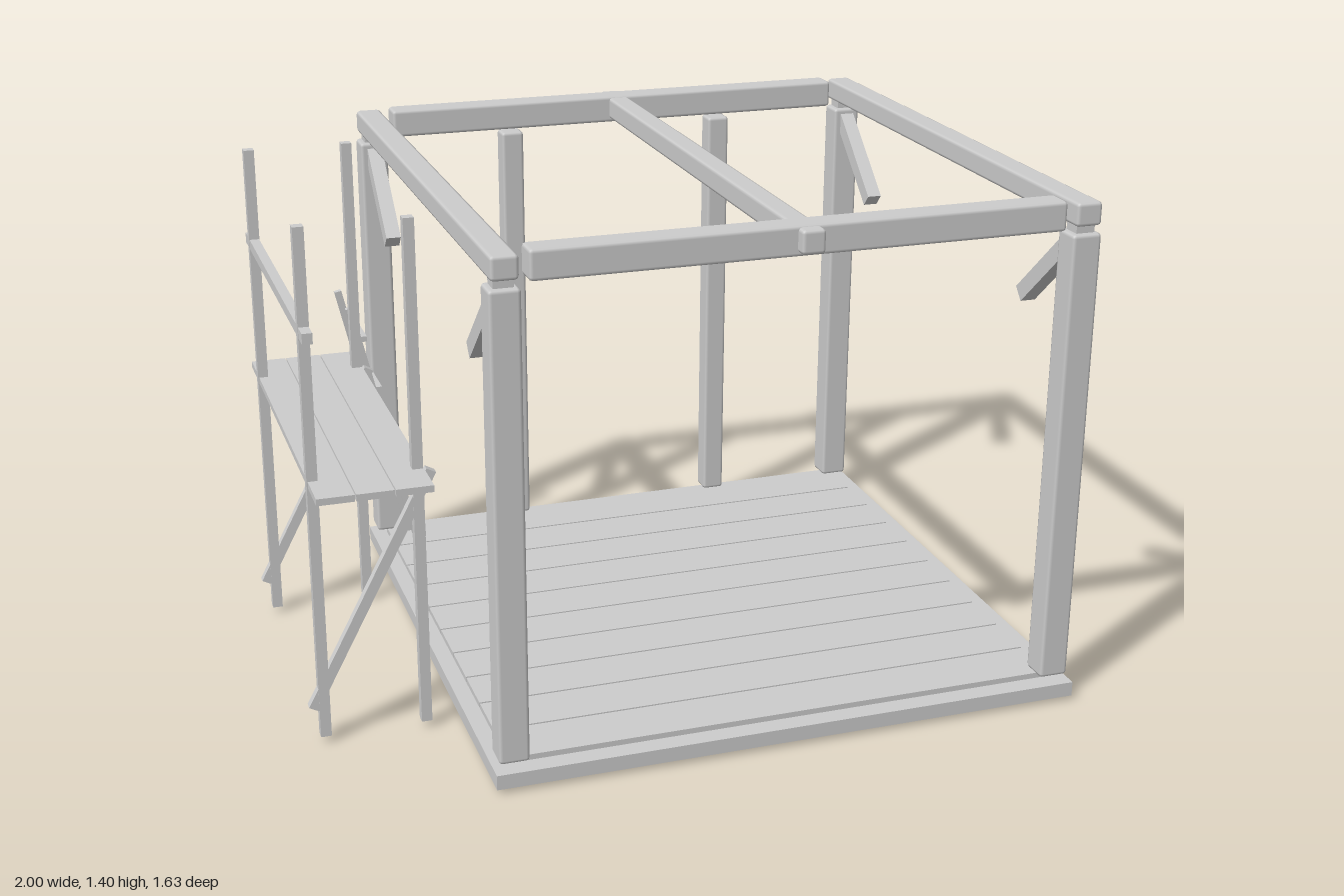
import * as THREE from 'three';
import { RoundedBoxGeometry } from 'three/addons/geometries/RoundedBoxGeometry.js';

export function createModel() {
  const model = new THREE.Group();
  model.name = 'timberFrameWithScaffold';
  const timber = new THREE.MeshStandardMaterial({ color: 0xcccccc });
  timber.name = 'plain grey timber';

  function place(name, geometry, x, y, z) {
    const mesh = new THREE.Mesh(geometry, timber);
    mesh.name = name;
    mesh.position.set(x, y, z);
    model.add(mesh);
    return mesh;
  }
  const box = (name, w, h, d, x, y, z) =>
    place(name, new THREE.BoxGeometry(w, h, d), x, y, z);
  // Heavy timber with softened edges
  const beam = (name, w, h, d, x, y, z) =>
    place(name, new RoundedBoxGeometry(w, h, d, 1, 0.01), x, y, z);
  // Square bar running between two points
  function bar(name, from, to, w, d) {
    const a = new THREE.Vector3(...from), b = new THREE.Vector3(...to);
    const dir = b.clone().sub(a), mid = a.clone().add(b).multiplyScalar(0.5);
    const mesh = box(name, w, dir.length(), d, mid.x, mid.y, mid.z);
    mesh.quaternion.setFromUnitVectors(new THREE.Vector3(0, 1, 0), dir.normalize());
    return mesh;
  }

  // Floor slab and boards
  box('floorBase', 1.6, 0.04, 1.6, 0.2, 0.034, 0);
  for (let i = 0; i < 10; i++) {
    box('floorBoard', 1.508, 0.016, 0.144, 0.198, 0.061, -0.675 + i * 0.15);
  }

  // Corner posts with tenons, and the braces leaning inward from them
  for (const x of [-0.55, 0.946]) {
    for (const s of [-1, 1]) {
      beam('cornerPost', 0.08, 1.232, 0.08, x, 0.691, s * 0.75);
      box('postTenon', 0.05, 0.05, 0.05, x, 1.32, s * 0.75);
      bar('cornerBrace', [x, 1.275, s * 0.725], [x, 1.067, s * 0.494], 0.042, 0.044);
    }
    beam('sideTopBeam', 0.07, 0.062, 1.585, x, 1.358, 0);
  }

  // Intermediate posts along the back
  for (const x of [-0.13, 0.522]) {
    beam('backPost', 0.066, 1.232, 0.066, x, 0.691, -0.75);
  }

  // Front and back top beams with the central cross beam
  for (const s of [-1, 1]) {
    beam('endTopBeam', 1.378, 0.078, 0.076, 0.198, 1.357, s * 0.75);
  }
  beam('centreTopBeam', 0.062, 0.062, 1.635, 0.2, 1.36, 0);

  // Scaffold poles and diagonal struts
  for (const z of [-0.4, 0.4]) {
    for (const x of [-0.957, -0.69]) {
      box('scaffoldPole', 0.028, 1.37, 0.028, x, 0.705, z);
    }
    bar('scaffoldStrut', [-0.985, 0.102], [-0.655, 0.728], 0.028, 0.024)
      .position.z = z;
  }

  // Scaffold platform and guard rail
  for (let i = 0; i < 3; i++) {
    box('platformBoard', 0.096, 0.018, 1.06, -0.92 + i * 0.099, 0.728, 0);
  }
  box('guardRail', 0.026, 0.028, 0.93, -0.957, 1.126, 0);

  // Ladder leaning from the floor toward the platform
  for (const z of [-0.535, -0.71]) {
    bar('ladderRail', [-0.477, 0.003, z], [-0.68, 0.868, z], 0.02, 0.018);
  }
  for (let i = 0; i < 5; i++) {
    const y = 0.127 + i * 0.1605;
    box('ladderRung', 0.018, 0.016, 0.175, -0.485 - (y - 0.127) * 0.24, y, -0.6225);
  }

  return model;
}
